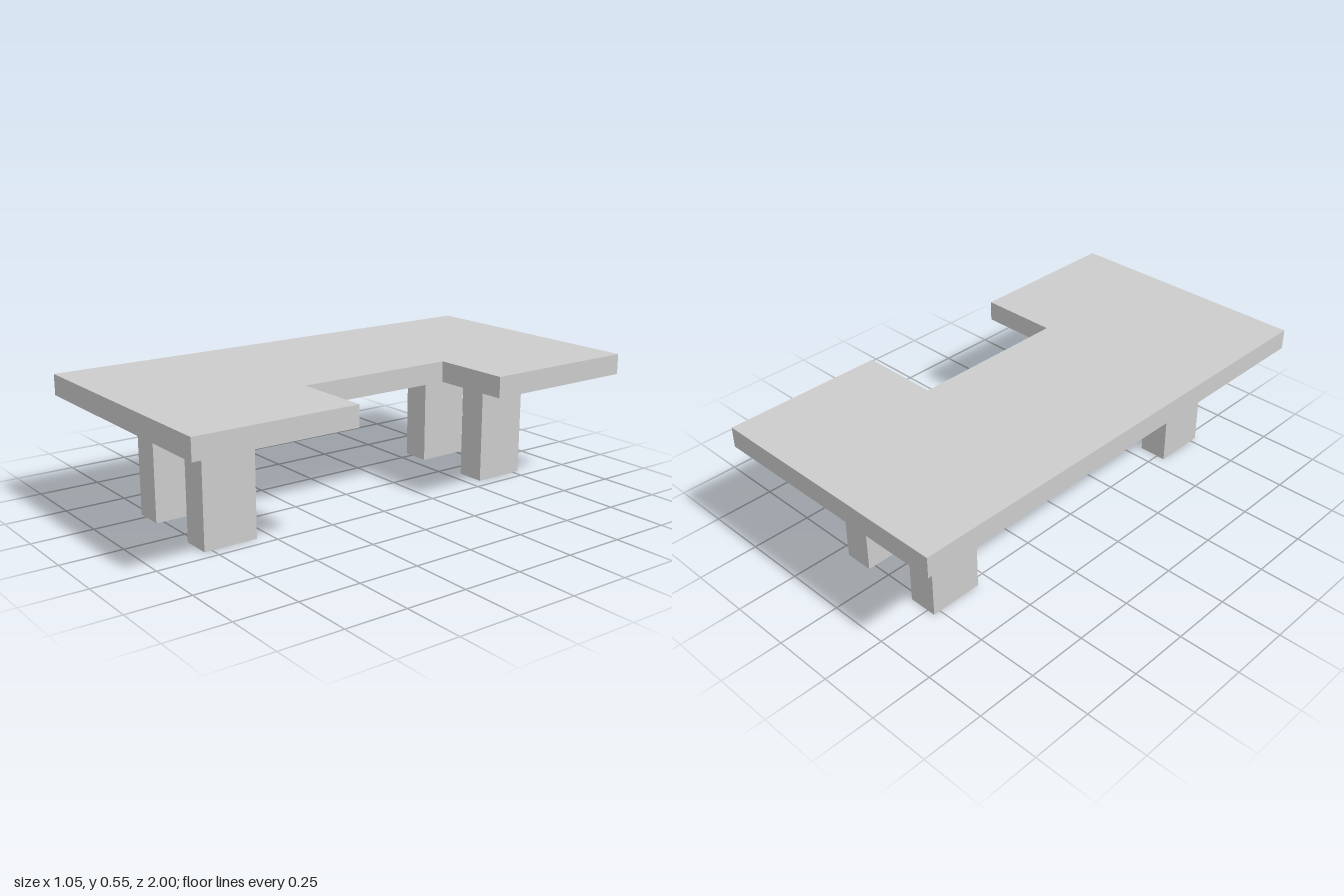
import * as THREE from 'three';

const TOP = 0.548, UNDERSIDE = 0.464;
const HALF_WIDTH = 0.527, HALF_LENGTH = 1;
const NOTCH_X = 0.198, NOTCH_Z = 0.334;

export function createModel() {
  const model = new THREE.Group();
  model.name = 'notchedTable';
  const material = new THREE.MeshStandardMaterial({ color: 0xcccccc, flatShading: true });

  // Slab with a rectangular notch in its left edge, drawn as (x, z) and laid flat
  const outline = new THREE.Shape([
    [-HALF_WIDTH, -HALF_LENGTH], [HALF_WIDTH, -HALF_LENGTH],
    [HALF_WIDTH, -NOTCH_Z], [NOTCH_X, -NOTCH_Z],
    [NOTCH_X, NOTCH_Z], [HALF_WIDTH, NOTCH_Z],
    [HALF_WIDTH, HALF_LENGTH], [-HALF_WIDTH, HALF_LENGTH],
  ].map(([x, z]) => new THREE.Vector2(x, z)));
  const slab = new THREE.ExtrudeGeometry(outline, { depth: TOP - UNDERSIDE, bevelEnabled: false });
  slab.rotateX(Math.PI / 2);
  const tableTop = new THREE.Mesh(slab, material);
  tableTop.name = 'tableTop';
  tableTop.position.y = TOP;
  model.add(tableTop);

  // Four rectangular legs, a pair near each end
  const legGeometry = new THREE.BoxGeometry(0.121, UNDERSIDE, 0.222);
  for (const [side, x] of [['Right', -0.225], ['Left', 0.139]]) {
    for (const [end, z] of [['front', 0.67], ['back', -0.668]]) {
      const leg = new THREE.Mesh(legGeometry, material);
      leg.name = `${end}${side}Leg`;
      leg.position.set(x, UNDERSIDE / 2, z);
      model.add(leg);
    }
  }
  return model;
}
